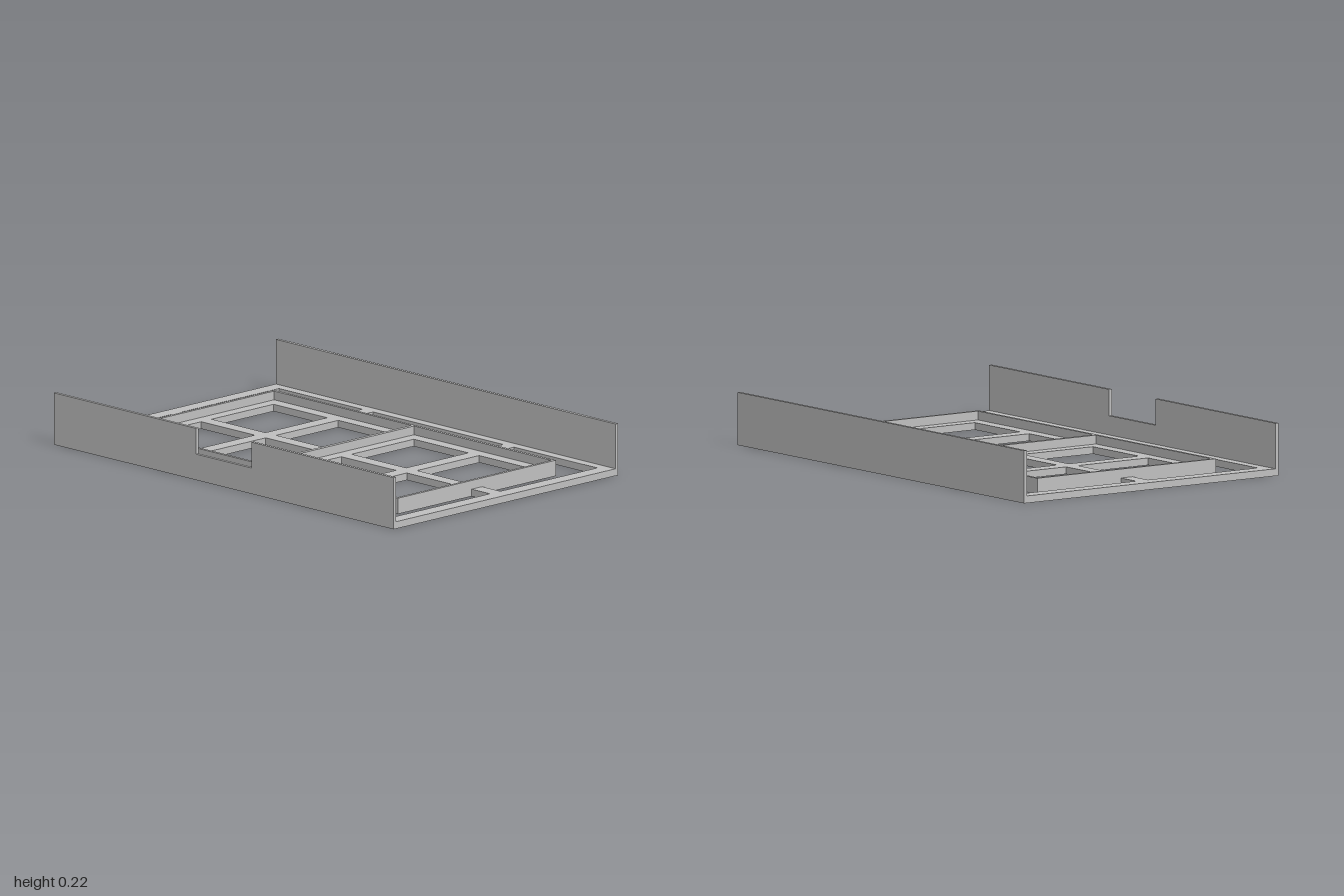
import * as THREE from 'three';

const W = 1, D = 0.65, WALL = 0.015, FLOOR = 0.03, WALL_TOP = 0.22;
const RIM_X = 0.829, RIM_Z = 0.457, RIM_TOP = 0.067, RIM_T = 0.014;
const OUT_X = 0.936, OUT_Z = 0.591;   // outer limits of the cut-outs
const BEAM_IN = 0.383, BEAM_OUT = 0.447, MID = 0.03;

const path = (pts, Type = THREE.Path) => {
  const p = new Type(pts.map(([x, y]) => new THREE.Vector2(x, y)));
  p.closePath();
  return p;
};
const rect = (x0, y0, x1, y1, Type) => path([[x0, y0], [x1, y0], [x1, y1], [x0, y1]], Type);

// Extrude a plan shape upward from y0 to y1
function slab(shape, y0, y1) {
  const g = new THREE.ExtrudeGeometry(shape, { depth: y1 - y0, bevelEnabled: false });
  g.rotateX(-Math.PI / 2);
  g.translate(0, y0, 0);
  return g;
}

export function createModel() {
  const group = new THREE.Group();
  const grey = new THREE.MeshStandardMaterial({ color: 0xbfbfbf });
  grey.name = 'grey plastic';
  const add = (name, geometry) => {
    const mesh = new THREE.Mesh(geometry, grey);
    mesh.name = name;
    group.add(mesh);
  };

  // Lattice floor
  const floor = rect(-W, -D + WALL, W, D - WALL, THREE.Shape);
  for (const sz of [-1, 1]) {
    // long slot outside the rim, between the cross beams
    floor.holes.push(rect(-BEAM_IN, sz * RIM_Z, BEAM_IN, sz * OUT_Z));
    for (const sx of [-1, 1]) {
      // L-shaped corner slot wrapping the rim
      floor.holes.push(path([
        [OUT_X, MID], [OUT_X, OUT_Z], [BEAM_OUT, OUT_Z],
        [BEAM_OUT, RIM_Z], [RIM_X, RIM_Z], [RIM_X, MID],
      ].map(([x, z]) => [x * sx, z * sz])));
      // windows inside the rim
      floor.holes.push(rect(sx * 0.062, sz * MID, sx * BEAM_IN, sz * 0.389));
      floor.holes.push(rect(sx * BEAM_OUT, sz * MID, sx * 0.763, sz * 0.389));
    }
  }
  add('latticeFloor', slab(floor, 0, FLOOR));

  // Raised rim with a central divider
  const rim = rect(-RIM_X, -RIM_Z, RIM_X, RIM_Z, THREE.Shape);
  for (const s of [-1, 1]) {
    rim.holes.push(rect(s * 0.009, -RIM_Z + RIM_T, s * (RIM_X - RIM_T), RIM_Z - RIM_T));
  }
  add('trayRim', slab(rim, FLOOR, RIM_TOP));

  // Plain back wall
  const back = new THREE.BoxGeometry(2 * W, WALL_TOP, WALL);
  back.translate(0, WALL_TOP / 2, -D + WALL / 2);
  add('backWall', back);

  // Front wall with a notch in its top edge
  const front = path([
    [-W, 0], [W, 0], [W, WALL_TOP], [0.163, WALL_TOP], [0.163, 0.11],
    [-0.163, 0.11], [-0.163, WALL_TOP], [-W, WALL_TOP],
  ], THREE.Shape);
  const frontGeometry = new THREE.ExtrudeGeometry(front, { depth: WALL, bevelEnabled: false });
  frontGeometry.translate(0, 0, D - WALL);
  add('frontWall', frontGeometry);

  return group;
}
